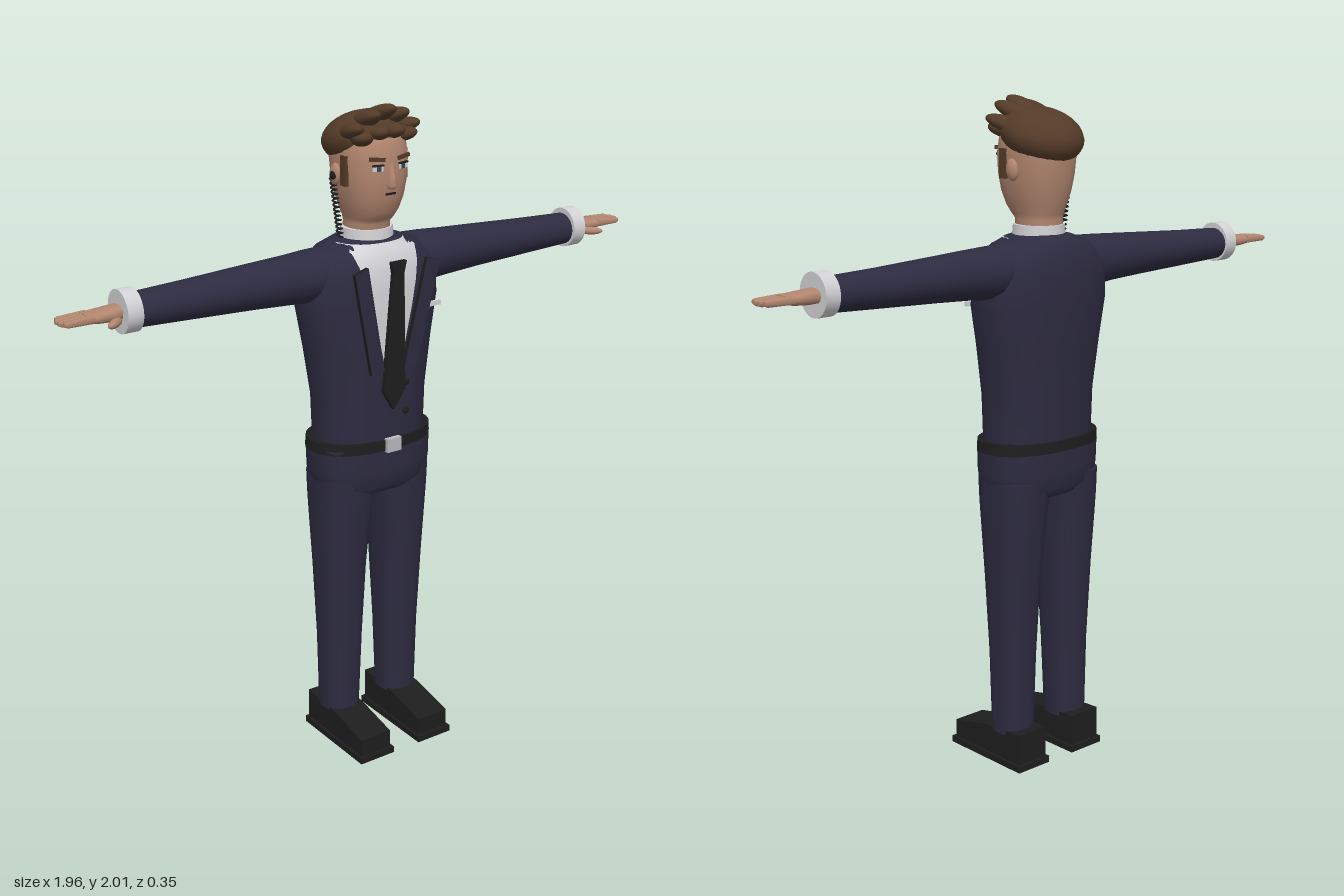
import * as THREE from 'three';

const mat = (name, color) => {
  const m = new THREE.MeshStandardMaterial({ color });
  m.name = name;
  return m;
};

// Superelliptic loft. Rings are [t, a0, a1, b0, b1].
// Vertical: t = y, a = x, b = z. Sideways: t = x, a = z, b = y.
function loft(rings, { n = 2.3, seg = 32, sideways = false } = {}) {
  const pos = [], idx = [];
  const put = (a, t, b) => (sideways ? pos.push(t, b, a) : pos.push(a, t, b));
  const addRing = ([t, a0, a1, b0, b1]) => {
    for (let i = 0; i < seg; i++) {
      const th = (i / seg) * Math.PI * 2, c = Math.cos(th), s = Math.sin(th);
      const e = (v) => Math.sign(v) * Math.abs(v) ** (2 / n);
      put((a0 + a1) / 2 + ((a1 - a0) / 2) * e(c), t, (b0 + b1) / 2 + ((b1 - b0) / 2) * e(s));
    }
  };
  rings.forEach(addRing);
  for (let r = 0; r < rings.length - 1; r++) {
    for (let i = 0; i < seg; i++) {
      const j = (i + 1) % seg, p = r * seg, q = p + seg;
      idx.push(p + i, q + i, p + j, p + j, q + i, q + j);
    }
  }
  [rings[0], rings[rings.length - 1]].forEach((ring, k) => {
    const s = pos.length / 3;
    addRing(ring);
    put((ring[1] + ring[2]) / 2, ring[0], (ring[3] + ring[4]) / 2);
    for (let i = 0; i < seg; i++) {
      const j = (i + 1) % seg;
      idx.push(s + seg, ...(k ? [s + j, s + i] : [s + i, s + j]));
    }
  });
  const g = new THREE.BufferGeometry();
  g.setAttribute('position', new THREE.Float32BufferAttribute(pos, 3));
  g.setIndex(idx);
  g.computeVertexNormals();
  return g;
}

// Front surface of a vertical loft at (x, y)
function frontZ(rings, x, y, n = 2.3) {
  let k = 0;
  while (k < rings.length - 2 && rings[k + 1][0] < y) k++;
  const f = (y - rings[k][0]) / (rings[k + 1][0] - rings[k][0]);
  const [, x0, x1, z0, z1] = rings[k].map((v, i) => v + (rings[k + 1][i] - v) * f);
  const u = Math.min(1, Math.abs(x - (x0 + x1) / 2) / ((x1 - x0) / 2));
  return (z0 + z1) / 2 + ((z1 - z0) / 2) * (1 - u ** n) ** (1 / n);
}

// Mirror across x and keep the faces outward
function mirrored(geo) {
  const g = geo.index ? geo.toNonIndexed() : geo.clone();
  g.scale(-1, 1, 1);
  for (const key of Object.keys(g.attributes)) {
    const a = g.attributes[key], w = a.itemSize;
    for (let i = 0; i < a.count; i += 3) {
      for (let c = 0; c < w; c++) {
        const p = (i + 1) * w + c, q = (i + 2) * w + c;
        [a.array[p], a.array[q]] = [a.array[q], a.array[p]];
      }
    }
  }
  return g;
}

// Flat extruded plate that leans forward towards the top
function plate(points, depth, zAt) {
  const g = new THREE.ExtrudeGeometry(new THREE.Shape(points.map((p) => new THREE.Vector2(...p))),
    { depth, bevelEnabled: false });
  const p = g.attributes.position;
  for (let i = 0; i < p.count; i++) p.setZ(i, p.getZ(i) + zAt(p.getY(i)));
  g.computeVertexNormals();
  return g;
}

const box = (w, h, d, x, y, z) => new THREE.BoxGeometry(w, h, d).translate(x, y, z);
const ball = (rx, ry, rz, tilt, turn, x, y, z) => new THREE.SphereGeometry(1, 24, 16)
  .scale(rx, ry, rz).rotateX(tilt).rotateY(turn).translate(x, y, z);

export function createModel() {
  const suit = mat('navy suit', 0x2d2b40), black = mat('black', 0x1e1e1f);
  const white = mat('white cloth', 0xd2d2d6), skin = mat('skin', 0xb2866f);
  const hair = mat('brown hair', 0x543b28), silver = mat('silver', 0xb9b9be);
  const iris = mat('eye blue', 0x34475c);
  const shirtMat = mat('white shirt', 0xd2d2d6);
  shirtMat.side = THREE.DoubleSide;

  const model = new THREE.Group();
  model.name = 'suitedMan';
  const add = (name, geo, m) => {
    const mesh = new THREE.Mesh(geo, m);
    mesh.name = name;
    model.add(mesh);
  };
  const pair = (name, geo, m) => {
    add('left' + name, geo, m);
    const g = mirrored(geo);
    geo.groups.forEach((r) => { if (!g.groups.length || g.groups.length < geo.groups.length) g.addGroup(r.start, r.count, r.materialIndex); });
    add('right' + name, g, m);
  };

  // Jacket
  const sym = (y, h, z0, z1) => [y, -h, h, z0, z1];
  const torso = [sym(0.99, 0.18, -0.15, 0.085), sym(1.15, 0.184, -0.155, 0.09), sym(1.3, 0.207, -0.163, 0.092),
    sym(1.42, 0.23, -0.168, 0.092), sym(1.5, 0.228, -0.166, 0.088), sym(1.55, 0.205, -0.16, 0.08),
    sym(1.59, 0.16, -0.145, 0.064), sym(1.612, 0.1, -0.125, 0.045), sym(1.62, 0.06, -0.11, 0.03)];
  add('jacketBody', loft(torso), suit);
  pair('Sleeve', loft([[0.1, -0.12, 0.03, 1.47, 1.6], [0.2, -0.125, 0.035, 1.443, 1.597], [0.27, -0.116, 0.032, 1.45, 1.593],
    [0.4, -0.112, 0.024, 1.457, 1.586], [0.6, -0.104, 0.015, 1.465, 1.575], [0.775, -0.095, 0.008, 1.472, 1.568]],
  { n: 2, sideways: true }), suit);
  pair('Cuff', loft([[0.757, -0.102, 0.018, 1.462, 1.585], [0.803, -0.102, 0.018, 1.462, 1.585]], { n: 2, sideways: true }), white);

  // Shirt panel laid over the chest
  const panel = new THREE.PlaneGeometry(1, 1, 16, 24), pp = panel.attributes.position;
  for (let i = 0; i < pp.count; i++) {
    const v = pp.getY(i) + 0.5, y = 1.15 + v * 0.46, x = pp.getX(i) * 2 * (0.004 + 0.108 * Math.min(1, v * 1.02));
    pp.setXYZ(i, x, y, frontZ(torso, Math.min(Math.abs(x), 0.108), y) + 0.005);
  }
  panel.computeVertexNormals();
  add('shirtFront', panel, shirtMat);
  const lean = (y) => 0.088 + (y - 1.2) * 0.05;
  pair('Lapel', plate([[0.103, 1.565], [0.035, 1.24], [0.08, 1.235], [0.148, 1.55]], 0.014, lean), [suit, black]);
  add('tie', plate([[-0.026, 1.57], [-0.019, 1.535], [-0.038, 1.175], [0, 1.115], [0.038, 1.175], [0.019, 1.535], [0.026, 1.57]],
    0.014, (y) => lean(y) + 0.005), black);
  add('collar', loft([sym(1.608, 0.079, -0.114, 0.04), sym(1.645, 0.077, -0.112, 0.036)], { n: 2 }), white);
  add('pocketSquare', box(0.055, 0.014, 0.009, 0.148, 1.412, 0.088), white);
  for (const y of [1.19, 1.1]) add('jacketButton', ball(0.011, 0.011, 0.006, 0, 0, 0.05, y, 0.092), black);

  // Belt
  add('belt', loft([sym(0.987, 0.204, -0.161, 0.094), sym(1.02, 0.202, -0.16, 0.094)]), black);
  add('buckle', box(0.05, 0.042, 0.016, 0, 1.005, 0.098), silver);

  // Trousers
  add('hips', loft([sym(0.845, 0.165, -0.13, 0.065), sym(0.87, 0.188, -0.148, 0.083), sym(0.92, 0.197, -0.152, 0.087),
    sym(1.0, 0.2, -0.153, 0.087)], { n: 2.6 }), suit);
  pair('Leg', loft([[0.1, 0.05, 0.168, -0.1, 0.02], [0.35, 0.041, 0.172, -0.106, 0.029], [0.6, 0.03, 0.181, -0.12, 0.045],
    [0.75, 0.018, 0.187, -0.133, 0.058], [0.83, 0.007, 0.19, -0.14, 0.066], [0.9, 0, 0.192, -0.143, 0.07]], { n: 2.5 }), suit);

  // Shoes: wedge upper on a wider sole
  const upper = new THREE.ExtrudeGeometry(new THREE.Shape([[-0.165, 0.01], [0.132, 0.01], [0.132, 0.117], [-0.015, 0.108], [-0.165, 0.076]]
    .map((p) => new THREE.Vector2(...p))), { depth: 0.108, bevelEnabled: false });
  pair('ShoeUpper', upper.rotateY(Math.PI / 2).translate(0.056, 0, 0), black);
  pair('ShoeSole', box(0.124, 0.02, 0.316, 0.11, 0.01, 0.018), black);

  // Hands
  pair('Palm', loft([[0.79, -0.075, -0.015, 1.503, 1.545], [0.83, -0.08, -0.01, 1.502, 1.542], [0.87, -0.082, -0.008, 1.505, 1.538],
    [0.905, -0.081, -0.009, 1.51, 1.535]], { n: 2.6, seg: 20, sideways: true }), skin);
  for (let i = 0; i < 4; i++) {
    const z = -0.0725 + i * 0.0182, tip = [0.972, 0.98, 0.98, 0.972][i];
    pair('Finger', loft([[0.885, z - 0.0094, z + 0.0094, 1.512, 1.535], [tip - 0.008, z - 0.009, z + 0.009, 1.513, 1.531],
      [tip, z - 0.006, z + 0.006, 1.517, 1.528]], { n: 3, seg: 12, sideways: true }), skin);
  }
  pair('Thumb', ball(0.036, 0.012, 0.013, 0, -0.68, 0.838, 1.51, 0.007), skin);

  // Head and neck
  const head = [sym(1.6, 0.066, -0.108, 0.03), sym(1.66, 0.064, -0.106, 0.03), sym(1.675, 0.068, -0.11, 0.046),
    sym(1.7, 0.078, -0.119, 0.064), sym(1.74, 0.091, -0.13, 0.078), sym(1.79, 0.1, -0.139, 0.086), sym(1.85, 0.105, -0.144, 0.086),
    sym(1.9, 0.1, -0.142, 0.078), sym(1.94, 0.08, -0.12, 0.055), sym(1.96, 0.04, -0.08, 0.01)];
  add('head', loft(head), skin);
  add('nose', loft([sym(1.772, 0.012, 0.06, 0.096), sym(1.783, 0.016, 0.06, 0.107), sym(1.81, 0.011, 0.06, 0.1),
    sym(1.845, 0.008, 0.06, 0.088)], { n: 2, seg: 16 }), skin);
  pair('Ear', ball(0.014, 0.032, 0.022, 0.15, 0, 0.105, 1.805, -0.04), skin);
  const onFace = (w, h, x, y, lift, roll = 0) => new THREE.BoxGeometry(w, h, 0.006).rotateZ(roll).rotateY(x * 5)
    .translate(x, y, frontZ(head, x, y) + lift);
  pair('EyeWhite', onFace(0.032, 0.014, 0.043, 1.832, 0), white);
  pair('Iris', onFace(0.013, 0.014, 0.041, 1.832, 0.002), iris);
  pair('EyeLid', onFace(0.036, 0.005, 0.043, 1.841, 0.002), black);
  pair('Eyebrow', onFace(0.048, 0.011, 0.045, 1.858, 0.002, 0.1), hair);
  add('mouth', onFace(0.032, 0.006, 0, 1.757, 0), black);

  // Hair: cap tilted up at the front, with swept-back locks on top
  add('hairCap', ball(0.122, 0.076, 0.125, -0.3, 0, 0, 1.898, -0.05), hair);
  pair('Sideburn', box(0.012, 0.085, 0.026, 0.102, 1.82, 0), hair);
  [-2, -1, 0, 1, 2].forEach((k) => add('hairLock', ball(0.033, 0.024, 0.09, -0.27 - 0.05 * (2 - Math.abs(k)), k * 0.16,
    k * 0.038, 1.968 - 0.011 * k * k, 0.012 - 0.005 * k * k), hair));
  [-1.5, -0.5, 0.5, 1.5].forEach((k) => add('frontLock', ball(0.032, 0.022, 0.05, -0.2, k * 0.3,
    k * 0.045, 1.928 - 0.007 * k * k, 0.05 - 0.006 * k * k), hair));

  // Earpiece with a coiled wire
  const coil = [];
  for (let i = 0; i <= 168; i++) {
    const t = i / 168, a = t * Math.PI * 28;
    coil.push(new THREE.Vector3(-0.083 - 0.026 * t + 0.008 * Math.cos(a), 1.615 + 0.18 * t, -0.05 + 0.008 * Math.sin(a)));
  }
  add('earpieceWire', new THREE.TubeGeometry(new THREE.CatmullRomCurve3(coil), 336, 0.003, 5), black);
  add('earpiece', ball(0.01, 0.013, 0.012, 0, 0, -0.115, 1.803, -0.036), black);

  return model;
}
